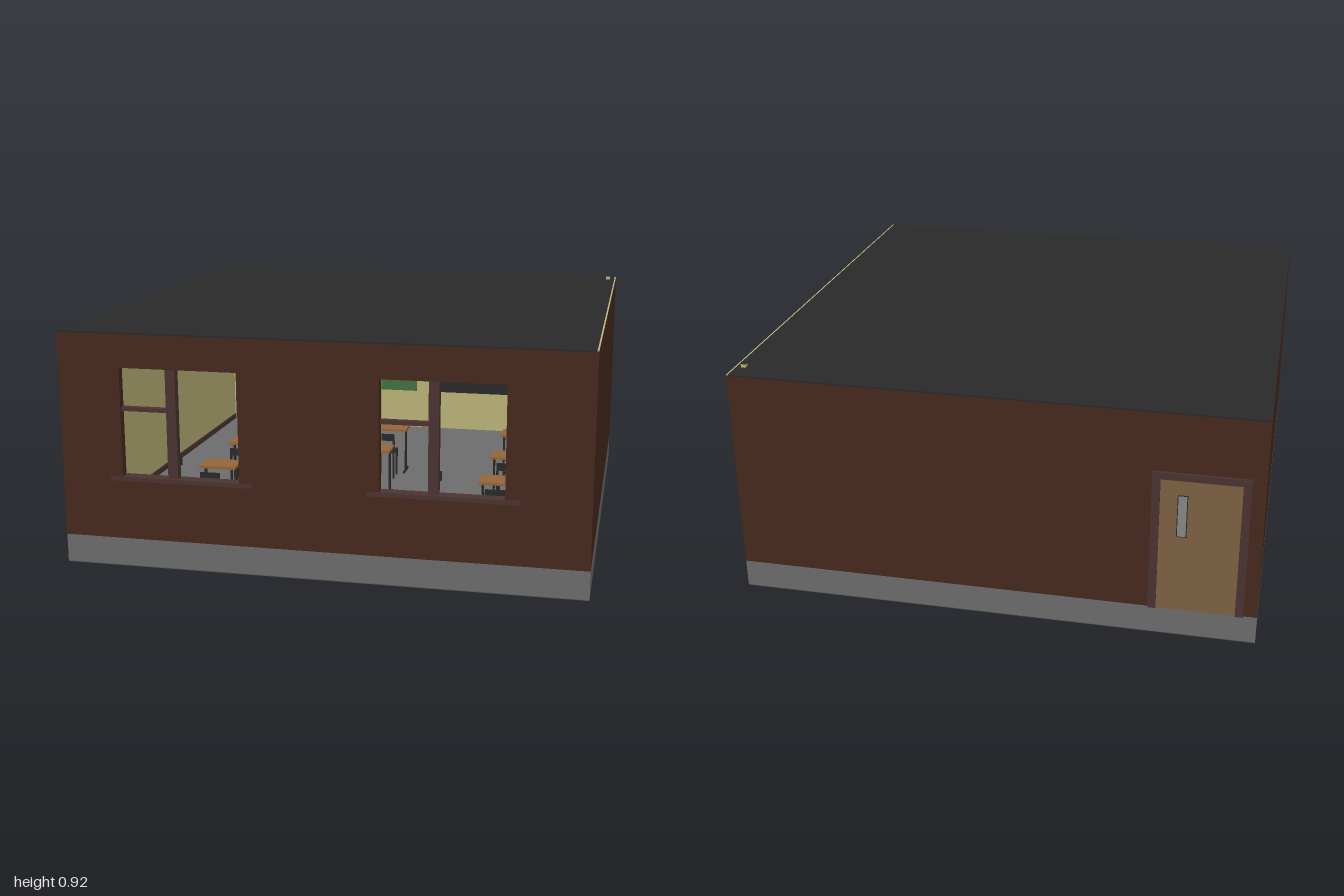
import * as THREE from 'three';

const mat = (name, color) => {
  const m = new THREE.MeshStandardMaterial({ color });
  m.name = name;
  return m;
};

export function createModel() {
  const brick = mat('brick', 0x46291d), concrete = mat('concrete', 0x6c6c6c);
  const dark = mat('dark slate', 0x292929), slab = mat('underside grey', 0x545454);
  const plaster = mat('plaster', 0xbab278), trim = mat('brown trim', 0x4a3431);
  const doorWood = mat('door wood', 0x7c6141), glass = mat('grey glass', 0x858886);
  const green = mat('board green', 0x43703f), wood = mat('desk wood', 0x946539);

  const model = new THREE.Group();
  model.name = 'classroom';

  // box given by its minimum and maximum corners
  const box = (name, m, x0, x1, y0, y1, z0, z1, parent = model) => {
    const mesh = new THREE.Mesh(new THREE.BoxGeometry(x1 - x0, y1 - y0, z1 - z0), m);
    mesh.position.set((x0 + x1) / 2, (y0 + y1) / 2, (z0 + z1) / 2);
    mesh.name = name;
    parent.add(mesh);
    return mesh;
  };
  const group = (name, x = 0, y = 0, z = 0) => {
    const g = new THREE.Group();
    g.name = name;
    g.position.set(x, y, z);
    model.add(g);
    return g;
  };

  const E = 0.99, F = 0.995, BASE = 0.11, TOP = 0.894, T = 0.03, L = 0.01;
  const windows = [-0.75, 0.23], WW = 0.453, WY0 = 0.35, WY1 = 0.768;

  // base, underside and roof with a pale strip along one edge
  box('underside', slab, -E, E, 0, 0.003, -E, F);
  box('foundation', concrete, -E, E, 0.003, BASE, -E, F);
  box('roof', dark, -E, 0.984, TOP, 0.9, -E, F);
  box('roofEdgeUnder', dark, 0.984, E, TOP, 0.897, -E, F);
  box('roofEdge', plaster, 0.984, E, 0.897, 0.9, -E, F);
  box('roofVent', plaster, 0.946, 0.964, 0.9, 0.914, -0.914, -0.896);
  box('roofVentCap', dark, 0.945, 0.965, 0.914, 0.918, -0.915, -0.895);

  // plain walls: brick outside, plaster inside
  box('backWall', brick, -E, E, BASE, TOP, -E, -E + T);
  box('backLining', plaster, -E + T, E - T, BASE, TOP, -E + T, -E + T + L);
  for (const s of [-1, 1]) {
    const wall = box('sideWall', brick, E - T, E, BASE, TOP, -E + T, F - T);
    wall.position.x *= s;
    const lining = box('sideLining', plaster, E - T - L, E - T, BASE, TOP, -E + T, F - T);
    lining.position.x *= s;
    const skirting = box('skirting', trim, E - T - L - 0.006, E - T - L, BASE, BASE + 0.025, -0.94, 0.94);
    skirting.position.x *= s;
  }

  // front wall with two window openings
  const frontLayer = (name, m, half, z, depth) => {
    const shape = new THREE.Shape([[-half, BASE], [half, BASE], [half, TOP], [-half, TOP]]
      .map(p => new THREE.Vector2(...p)));
    for (const x of windows) {
      shape.holes.push(new THREE.Path([[x, WY0], [x, WY1], [x + WW, WY1], [x + WW, WY0]]
        .map(p => new THREE.Vector2(...p))));
    }
    const mesh = new THREE.Mesh(new THREE.ExtrudeGeometry(shape, { depth, bevelEnabled: false }), m);
    mesh.position.z = z;
    mesh.name = name;
    model.add(mesh);
  };
  frontLayer('frontWall', brick, E, F - T, T);
  frontLayer('frontLining', plaster, E - T, F - T - L, L);

  // window mullion, transom, catch and sill
  for (const x of windows) {
    const w = group('window', x, 0, 0);
    box('mullion', trim, 0.176, 0.214, WY0, WY1, 0.956, 0.988, w);
    box('transom', trim, 0, 0.176, 0.603, 0.618, 0.96, 0.985, w);
    box('catch', dark, 0.213, 0.221, 0.4, 0.435, 0.956, 0.968, w);
    box('sill', trim, -0.048, 0.505, 0.337, 0.353, 0.95, 1, w);
  }

  // door through the back wall, with a surround on both faces
  const door = group('door');
  const D0 = -0.94, D1 = -0.59;
  box('doorLeaf', doorWood, D0 + 0.03, D1 - 0.03, BASE, 0.645, -0.994, -0.944, door);
  for (const [z0, z1] of [[-1, -0.985], [-0.955, -0.935]]) {
    box('doorJamb', trim, D0, D0 + 0.03, BASE, 0.67, z0, z1, door);
    box('doorJamb', trim, D1 - 0.03, D1, BASE, 0.67, z0, z1, door);
    box('doorHead', trim, D0 + 0.03, D1 - 0.03, 0.643, 0.67, z0, z1, door);
  }
  for (const z of [-0.996, -0.944]) {
    box('doorPaneFrame', dark, -0.72, -0.683, 0.416, 0.584, z, z + 0.002, door);
    box('doorPane', glass, -0.717, -0.686, 0.419, 0.581, z - 0.001, z + 0.003, door);
  }
  const knob = new THREE.Mesh(new THREE.SphereGeometry(0.01, 12, 8), glass);
  knob.scale.z = 0.6;
  knob.position.set(-0.65, 0.375, -0.94);
  knob.name = 'doorKnob';
  door.add(knob);

  // boards on the back wall
  box('greenBoard', green, -0.467, 0.02, 0.3, 0.63, -0.95, -0.94);
  box('blackBoard', dark, 0.1, 0.82, 0.3, 0.626, -0.95, -0.938);
  box('boardRail', glass, 0.1, 0.82, 0.626, 0.632, -0.95, -0.935);

  // ceiling fitting
  box('pendantRod', dark, 0.299, 0.307, 0.72, TOP, -0.004, 0.004);
  box('pendantHead', dark, 0.296, 0.31, 0.695, 0.722, -0.02, 0.02);

  // rows of desks with dark chairs
  const desk = (x, z) => {
    const d = group('desk', x, BASE, z);
    box('deskTop', wood, -0.075, 0.075, 0.192, 0.202, -0.055, 0.055, d);
    for (const sx of [-0.065, 0.065]) {
      box('deskFoot', dark, sx - 0.004, sx + 0.004, 0, 0.008, -0.05, 0.05, d);
      box('deskLeg', dark, sx - 0.004, sx + 0.004, 0.008, 0.192, -0.006, 0.006, d);
    }
    const c = group('chair', x, BASE, z + 0.1);
    box('chairSeat', dark, -0.04, 0.04, 0.115, 0.121, -0.04, 0.04, c);
    box('chairBack', dark, -0.04, 0.04, 0.17, 0.2, 0.034, 0.04, c);
    for (const sx of [-0.036, 0.036]) {
      box('chairFrontLeg', dark, sx - 0.004, sx + 0.004, 0, 0.115, -0.038, -0.03, c);
      box('chairBackLeg', dark, sx - 0.004, sx + 0.004, 0, 0.17, 0.032, 0.04, c);
    }
  };
  for (const x of [-0.5, 0.05, 0.62]) {
    for (const z of [-0.14, 0.23, 0.6]) desk(x, z);
  }

  return model;
}
